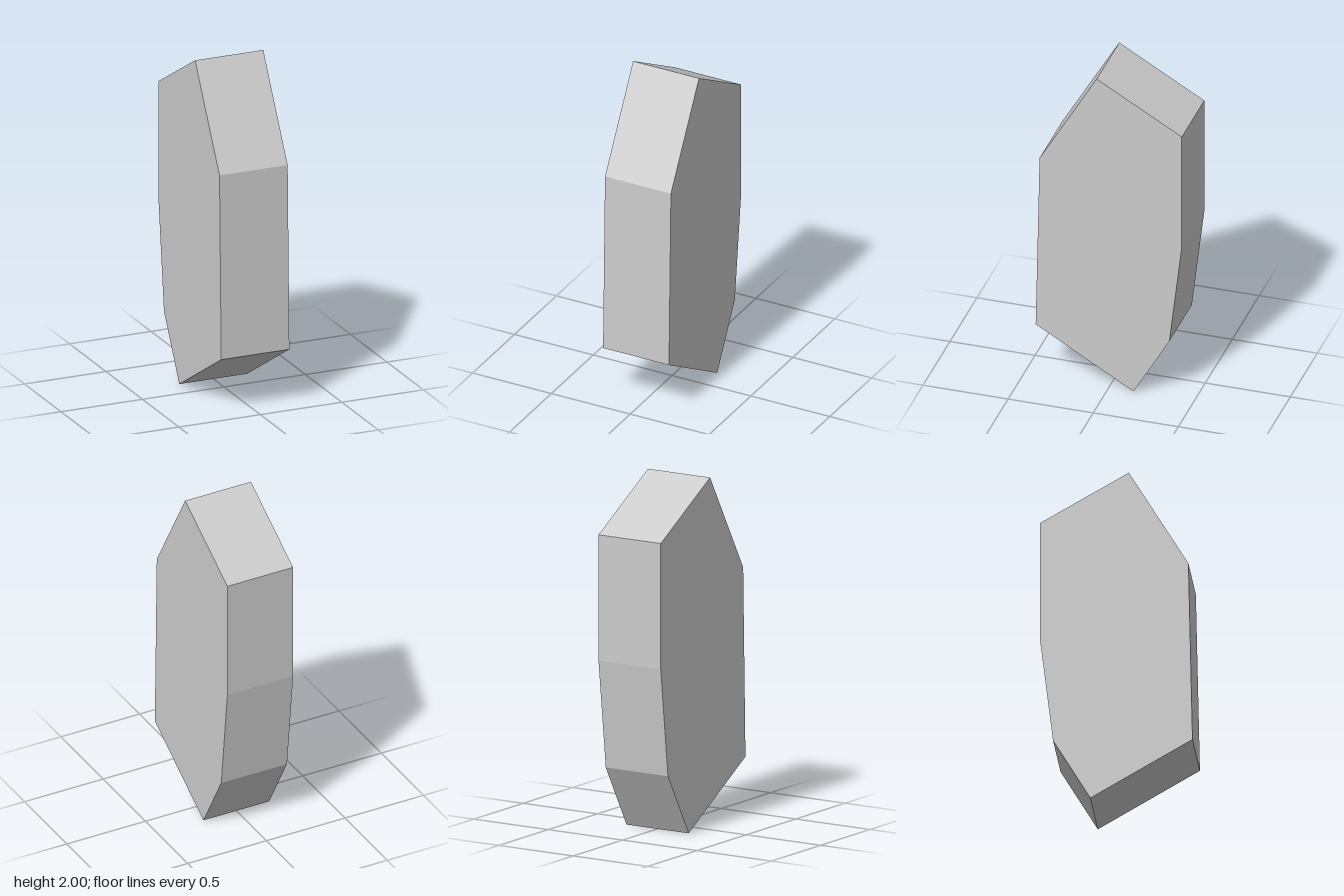
import * as THREE from 'three';

export function createModel() {
  const group = new THREE.Group();
  const width = 0.418;

  // Side outline of the slab as (z, y) corners, counter-clockwise
  const outline = [
    [-0.145, 0], [0.43, 0.335], [0.407, 1.425], [0.072, 2],
    [-0.428, 1.712], [-0.428, 0.99], [-0.355, 0.365],
  ].map(([z, y]) => new THREE.Vector2(z, y));

  // Extrude across the width, then turn the outline into the z-y plane
  const geometry = new THREE.ExtrudeGeometry(new THREE.Shape(outline), {
    depth: width,
    bevelEnabled: false,
  });
  geometry.translate(0, 0, -width / 2);
  geometry.rotateY(-Math.PI / 2);

  const slab = new THREE.Mesh(
    geometry,
    new THREE.MeshStandardMaterial({ color: 0xcccccc, flatShading: true })
  );
  slab.name = 'facetedSlab';
  group.add(slab);
  return group;
}
